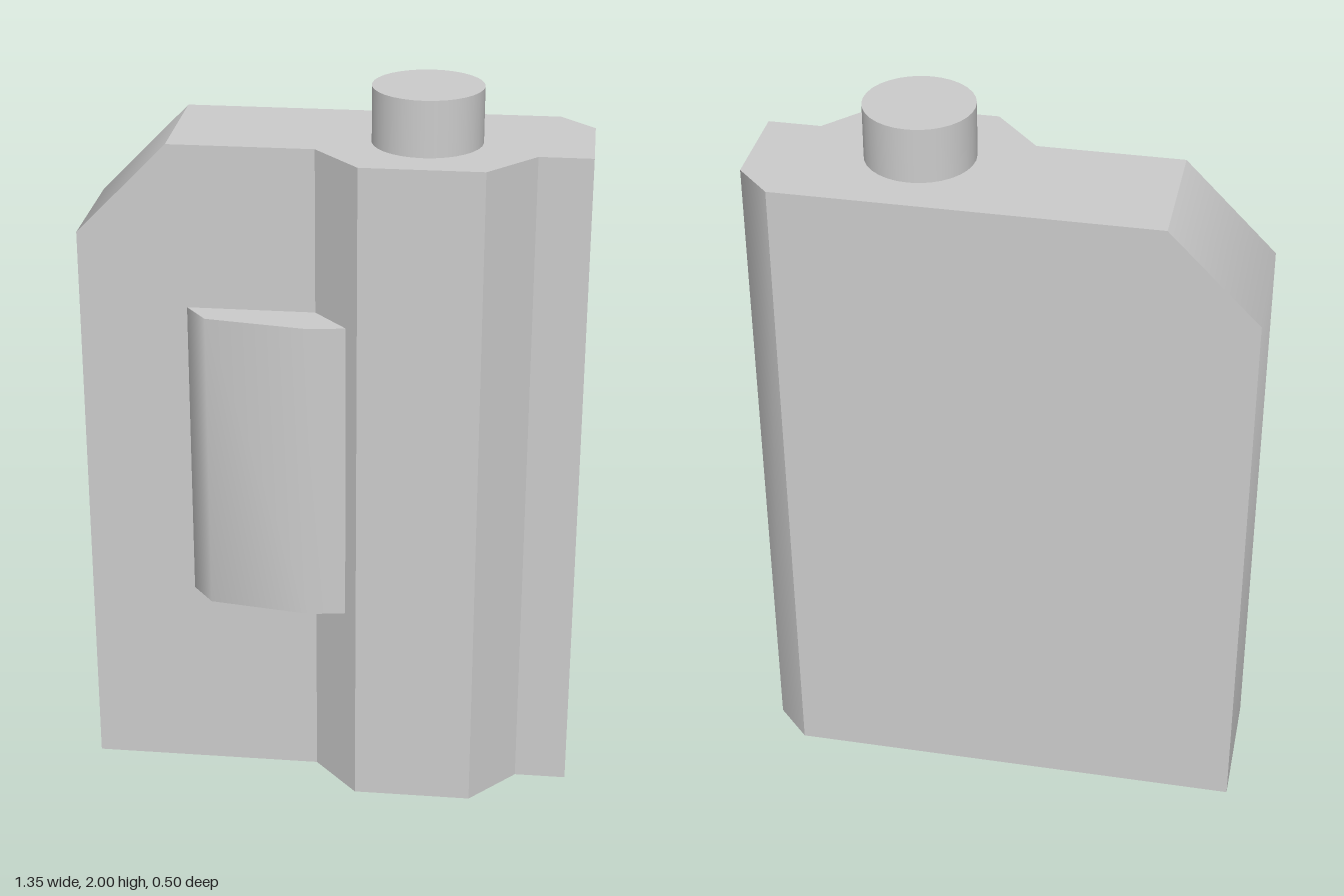
import * as THREE from 'three';
import { toCreasedNormals } from 'three/addons/utils/BufferGeometryUtils.js';

const CREASE = THREE.MathUtils.degToRad(45);

// Skin rectangular sections running along x; each is [x, zBack, zFront, yTop].
function loftSections(sections) {
  const loops = sections.map(([x, zb, zf, top]) => [
    [x, 0, zb], [x, 0, zf], [x, top, zf], [x, top, zb],
  ]);
  const pos = [];
  const quad = (a, b, c, d) => pos.push(...a, ...b, ...c, ...a, ...c, ...d);
  for (let i = 0; i < loops.length - 1; i++) {
    const a = loops[i], b = loops[i + 1];
    for (let k = 0; k < 4; k++) {
      const n = (k + 1) % 4;
      quad(a[k], b[k], b[n], a[n]);
    }
  }
  quad(...loops[0]);
  quad(...[...loops[loops.length - 1]].reverse());
  const geo = new THREE.BufferGeometry();
  geo.setAttribute('position', new THREE.Float32BufferAttribute(pos, 3));
  return toCreasedNormals(geo, CREASE);
}

// Extrude a plan outline of [x, z] points upward from y0 to y1.
function extrudePlan(points, y0, y1) {
  const shape = new THREE.Shape(points.map(([x, z]) => new THREE.Vector2(x, -z)));
  const geo = new THREE.ExtrudeGeometry(shape, { depth: y1 - y0, bevelEnabled: false });
  geo.rotateX(-Math.PI / 2).translate(0, y0, 0);
  return toCreasedNormals(geo, CREASE);
}

export function createModel() {
  const group = new THREE.Group();
  const material = new THREE.MeshStandardMaterial({ color: 0xcccccc });
  const add = (name, geometry) => {
    const mesh = new THREE.Mesh(geometry, material);
    mesh.name = name;
    group.add(mesh);
    return mesh;
  };

  // Slab with a cut top corner, a raised front rib and a chamfered back edge
  add('body', loftSections([
    [-0.675, -0.25, 0.11, 1.6],
    [-0.43, -0.25, 0.11, 1.85],
    [-0.04, -0.25, 0.11, 1.85],
    [0.085, -0.25, 0.25, 1.85],
    [0.408, -0.25, 0.25, 1.85],
    [0.533, -0.25, 0.11, 1.85],
    [0.582, -0.25, 0.11, 1.85],
    [0.675, -0.155, 0.11, 1.85],
  ]));

  // Raised panel on the front, running into the rib
  add('frontPanel', extrudePlan([
    [-0.384, 0.1], [-0.384, 0.11], [-0.324, 0.187],
    [-0.045, 0.229], [0.055, 0.213], [0.055, 0.1],
  ], 0.555, 1.4));

  // Round button on top
  add('topButton', new THREE.CylinderGeometry(0.146, 0.146, 0.15, 32))
    .position.set(0.243, 1.925, 0.008);

  return group;
}
